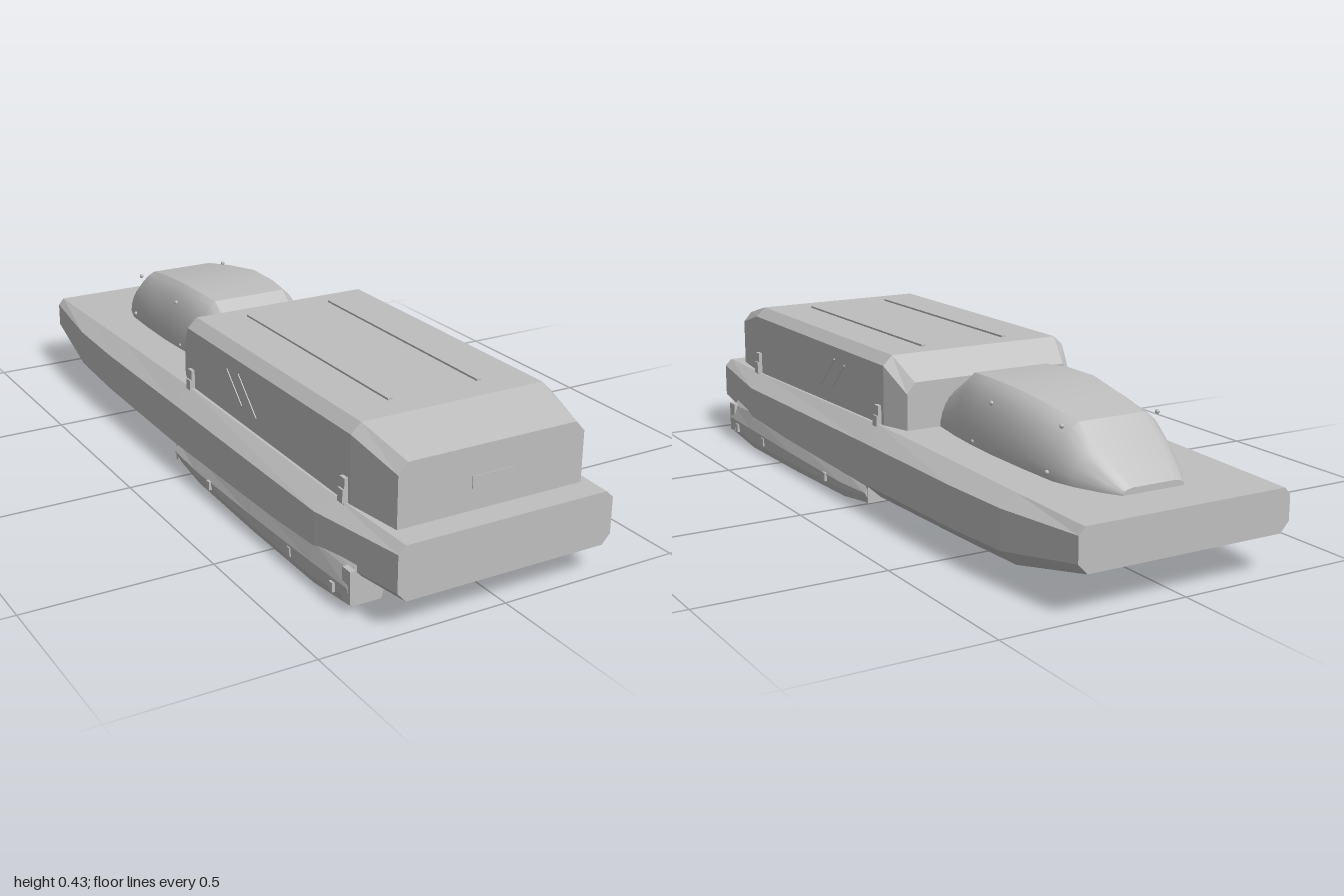
import * as THREE from 'three';
import { mergeVertices, toCreasedNormals } from 'three/addons/utils/BufferGeometryUtils.js';

// Skin a row of cross-sections, ordered back to front; points run counter-clockwise seen from +z.
function loft(sections) {
  const pos = [];
  const put = (s, p) => pos.push(p[0], p[1], s.z);
  const n = sections[0].pts.length;
  for (let i = 0; i < sections.length - 1; i++) {
    const s = sections[i], t = sections[i + 1];
    for (let j = 0; j < n; j++) {
      const k = (j + 1) % n;
      put(s, s.pts[j]); put(s, s.pts[k]); put(t, t.pts[k]);
      put(s, s.pts[j]); put(t, t.pts[k]); put(t, t.pts[j]);
    }
  }
  const back = sections[0], front = sections[sections.length - 1];
  for (let j = 1; j < n - 1; j++) {
    put(back, back.pts[0]); put(back, back.pts[j + 1]); put(back, back.pts[j]);
    put(front, front.pts[0]); put(front, front.pts[j]); put(front, front.pts[j + 1]);
  }
  const g = new THREE.BufferGeometry();
  g.setAttribute('position', new THREE.Float32BufferAttribute(pos, 3));
  g.computeVertexNormals();
  return g;
}

const flip = (pts) => pts.map(([x, y]) => [-x, y]).reverse();
const symmetric = (z, half) => ({ z, pts: [...half, ...flip(half)] });

export function createModel() {
  const model = new THREE.Group();
  model.name = 'hovercraft';
  const grey = new THREE.MeshStandardMaterial({ color: 0xbebebe });
  grey.name = 'hull grey';

  const add = (name, geometry, x = 0, y = 0, z = 0) => {
    const m = new THREE.Mesh(geometry, grey);
    m.name = name;
    m.position.set(x, y, z);
    model.add(m);
    return m;
  };
  const box = (name, w, h, d, x, y, z) => add(name, new THREE.BoxGeometry(w, h, d), x, y, z);

  // Long chamfered hull: keel, lower side, upper side, deck edge
  add('hull', loft([
    symmetric(-1, [[0.275, 0.105], [0.3, 0.132], [0.3, 0.197], [0.284, 0.216]]),
    symmetric(-0.73, [[0.285, 0.046], [0.33, 0.088], [0.33, 0.19], [0.287, 0.222]]),
    symmetric(-0.5, [[0.29, 0.042], [0.338, 0.083], [0.338, 0.19], [0.289, 0.227]]),
    symmetric(-0.06, [[0.29, 0.034], [0.34, 0.078], [0.34, 0.192], [0.292, 0.234]]),
    symmetric(0.7, [[0.28, 0.055], [0.338, 0.092], [0.338, 0.188], [0.29, 0.223]]),
    symmetric(1, [[0.277, 0.08], [0.3, 0.105], [0.3, 0.2], [0.28, 0.219]]),
  ]));

  // Cargo housing with sloped ends
  add('cargoHousing', loft([
    symmetric(-0.15, [[0.255, 0.21], [0.255, 0.33], [0.232, 0.36]]),
    symmetric(-0.07, [[0.283, 0.21], [0.283, 0.395], [0.256, 0.421]]),
    symmetric(0.77, [[0.283, 0.21], [0.283, 0.395], [0.256, 0.421]]),
    symmetric(0.93, [[0.259, 0.21], [0.259, 0.352], [0.234, 0.38]]),
  ]));
  box('frontPlate', 0.116, 0.032, 0.004, 0, 0.29, 0.93);

  // Canopy: rounded sides that meet a flat roof; [z, half width, roof half width, roof height]
  const canopy = [
    [-0.87, 0.088, 0.06, 0.235], [-0.83, 0.115, 0.07, 0.265], [-0.76, 0.15, 0.085, 0.315],
    [-0.7, 0.168, 0.095, 0.358], [-0.58, 0.176, 0.108, 0.38], [-0.45, 0.18, 0.122, 0.397],
    [-0.34, 0.177, 0.12, 0.398], [-0.25, 0.17, 0.11, 0.392], [-0.13, 0.155, 0.1, 0.315],
  ].map(([z, w, r, top]) => {
    const half = [[w * 0.98, 0.21]];
    for (let i = 0; i <= 6; i++) {
      const a = (i / 6) * Math.PI * 0.43;
      const rise = Math.sin(a) / Math.sin(Math.PI * 0.43);
      const inset = (1 - Math.cos(a)) / (1 - Math.cos(Math.PI * 0.43));
      half.push([w - (w - r) * inset, 0.222 + (top - 0.222) * rise]);
    }
    return symmetric(z, half);
  });
  const canopyShape = loft(canopy);
  canopyShape.deleteAttribute('normal');
  add('canopy', toCreasedNormals(mergeVertices(canopyShape, 1e-5), 0.42));

  // Side pods: closed cross-section tapering towards the back
  const podSection = (z, low, high, out) => ({
    z,
    pts: [[0.25, low], [out - 0.014, low], [out - 0.004, low + 0.022],
      [out, low + (high - low) * 0.45], [out - 0.014, low + (high - low) * 0.78],
      [out - 0.034, high], [0.262, high - 0.03], [0.243, low + 0.024]],
  });
  const podSections = [
    podSection(-0.06, 0.022, 0.088, 0.338), podSection(0.08, 0.006, 0.1, 0.344),
    podSection(0.4, 0.002, 0.122, 0.349), podSection(0.7, 0, 0.14, 0.349),
    podSection(0.86, 0.013, 0.126, 0.344),
  ];

  for (const side of [1, -1]) {
    const name = side > 0 ? 'left' : 'right';
    add(name + 'Pod', loft(side > 0 ? podSections
      : podSections.map(({ z, pts }) => ({ z, pts: flip(pts) }))));
    // Pod end plate, bracket and fasteners
    box(name + 'PodEndPlate', 0.015, 0.085, 0.035, side * 0.334, 0.066, 0.853);
    box(name + 'PodBracket', 0.03, 0.06, 0.012, side * 0.315, 0.053, -0.058);
    for (const z of [0.17, 0.6, 0.8]) box(name + 'PodFastener', 0.008, 0.024, 0.016, side * 0.347, 0.042, z);

    // Housing latches and roof rails
    for (const z of [-0.045, 0.75]) {
      box(name + 'Latch', 0.014, 0.066, 0.022, side * 0.286, 0.252, z);
      box(name + 'LatchFoot', 0.018, 0.035, 0.022, side * 0.289, 0.24, z);
    }
    box(name + 'RoofRail', 0.013, 0.01, 0.7, side * 0.127, 0.421, 0.34);

    // Slanted strips on the housing wall
    for (const [z, len] of [[0.2, 0.11], [0.27, 0.13]]) {
      box(name + 'WallStrip', 0.004, 0.005, len, side * 0.2835, 0.315, z).rotation.x = 0.75;
    }

    // Canopy rivets
    for (const [x, y, z] of [[0.14, 0.352, -0.695], [0.157, 0.35, -0.41], [0.175, 0.24, -0.35], [0.17, 0.24, -0.68]]) {
      add(name + 'CanopyRivet', new THREE.SphereGeometry(0.006, 8, 6), side * x, y, z);
    }
  }
  return model;
}
